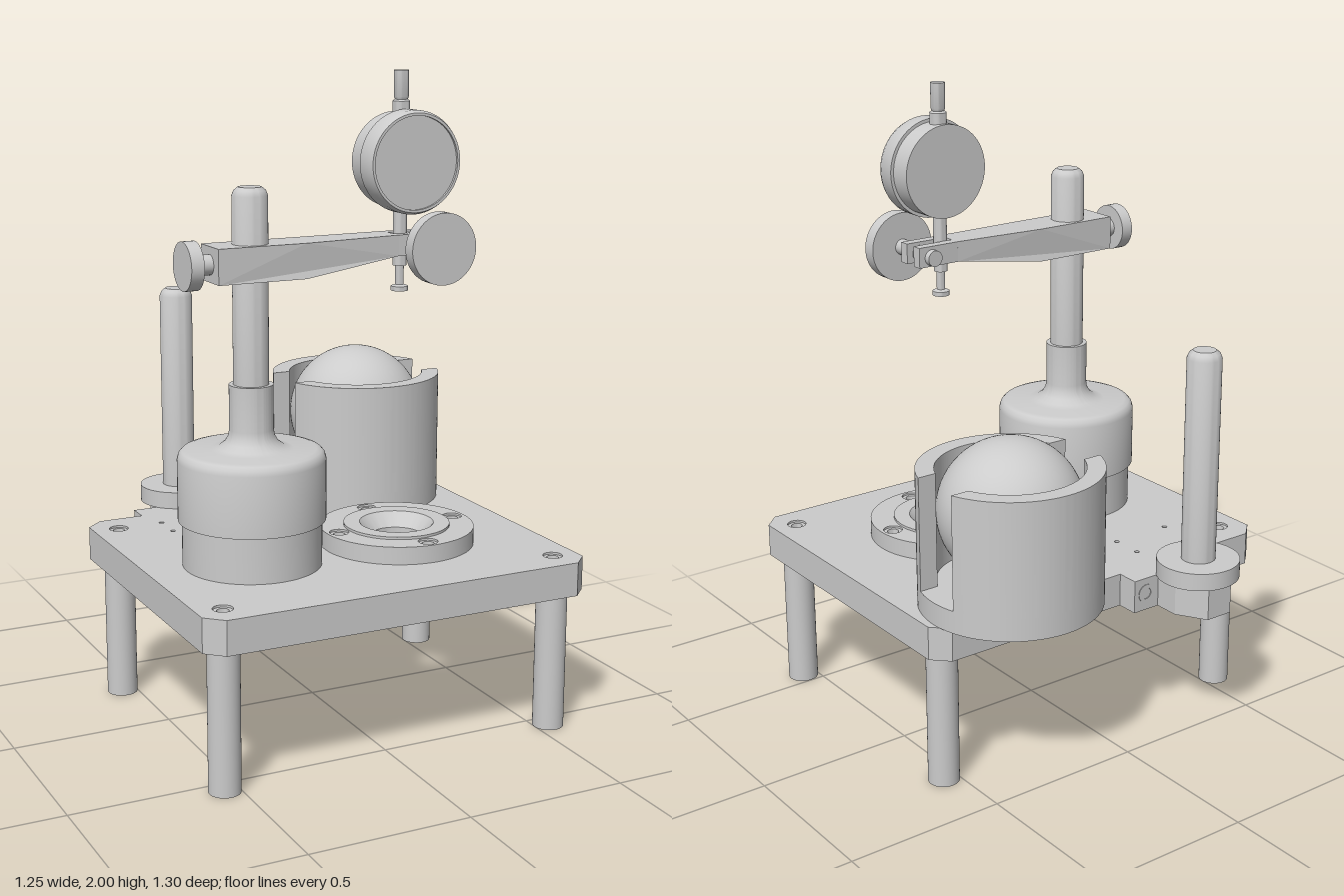
import * as THREE from 'three';
import { toCreasedNormals } from 'three/addons/utils/BufferGeometryUtils.js';

const grey = new THREE.MeshStandardMaterial({ color: 0xcccccc });
const V = (pts) => pts.map(([x, y]) => new THREE.Vector2(x, y));

export function createModel() {
  const model = new THREE.Group();

  const add = (name, geo, x = 0, y = 0, z = 0) => {
    const mesh = new THREE.Mesh(geo, grey);
    mesh.name = name;
    mesh.position.set(x, y, z);
    model.add(mesh);
    return mesh;
  };
  // turned part: profile of [radius, height], outside upwards, then inwards
  const turned = (pts, seg = 64) => toCreasedNormals(new THREE.LatheGeometry(V(pts), seg), 0.6);
  // plate drawn in x/z, hanging down from y = 0
  const slab = (shape, h) => toCreasedNormals(
    new THREE.ExtrudeGeometry(shape, { depth: h, bevelEnabled: false, curveSegments: 48 }).rotateX(Math.PI / 2), 0.5);
  const hole = (shape, x, z, r) => shape.holes.push(new THREE.Path().absarc(x, z, r, 0, Math.PI * 2, true));
  const rod = (r, h, seg = 40) => new THREE.CylinderGeometry(r, r, h, seg);
  const box = (w, h, d) => new THREE.BoxGeometry(w, h, d);
  // socket screw whose head sits just under y = 0
  const screw = () => turned([[0, -0.06], [0.029, -0.06], [0.029, -0.006], [0.018, -0.006], [0.016, -0.028], [0, -0.028]], 24);
  // round bar with a softened top end
  const bar = (r, h) => turned([[0, 0], [r, 0], [r, h - 0.025], [r - 0.006, h - 0.01], [r - 0.018, h], [0, h]], 40);

  const legX = 0.546, legZ = [-0.29, 0.55];
  const stand = { x: -0.303, z: 0.21 }, flange = { x: 0.188, z: 0.212 };
  const post = { x: -0.243, z: -0.528 }, cup = { x: 0.325, z: -0.335 };

  // base plate with cut corners and the rear clamp tab
  const plate = new THREE.Shape(V([
    [-0.575, 0.645], [-0.628, 0.595], [-0.628, -0.34], [-0.575, -0.39], [-0.43, -0.39], [-0.43, -0.46],
    [post.x - 0.1, -0.46], [post.x - 0.1, -0.54], [post.x - 0.045, -0.63], [post.x + 0.045, -0.63],
    [post.x + 0.1, -0.54], [post.x + 0.1, -0.46], [-0.05, -0.46], [-0.05, -0.39],
    [0.575, -0.39], [0.625, -0.34], [0.625, 0.595], [0.575, 0.645]]));
  hole(plate, flange.x, flange.z, 0.1);
  hole(plate, stand.x, stand.z, 0.075);
  hole(plate, post.x, post.z, 0.025);
  for (const x of [-0.4, -0.2]) for (const z of [-0.29, -0.19]) hole(plate, x, z, 0.008);
  for (const x of [-legX, legX]) for (const z of legZ) hole(plate, x, z, 0.03);
  add('basePlate', slab(plate, 0.105), 0, 0.55, 0);

  // legs and their screws
  for (const x of [-legX, legX]) for (const z of legZ) {
    add('leg', rod(0.048, 0.445), x, 0.2225, z);
    add('legScrew', screw(), x, 0.55, z);
  }

  // clamp screws on the back of the tab
  for (const s of [-1, 1])
    add('clampScrew', screw().rotateX(-Math.PI / 2), post.x + s * 0.148, 0.5, -0.468);

  // rear post on its collar
  add('postCollar', rod(0.128, 0.055, 64), post.x, 0.5775, post.z);
  add('rearPost', bar(0.053, 0.665), post.x, 0.605, post.z);

  // slotted cup holding the ball
  add('cupFloor', rod(0.278, 0.07, 96), cup.x, 0.585, cup.z);
  const R = 0.278, r = 0.222, half = 0.083;
  const a = Math.asin(half / R), b = Math.asin(half / r);
  for (const turn of [0, Math.PI]) {
    const wall = new THREE.Shape();
    wall.absarc(0, 0, R, turn + a, turn + Math.PI - a, false);
    wall.absarc(0, 0, r, turn + Math.PI - b, turn + b, true);
    add('cupWall', slab(wall, 0.355), cup.x, 0.975, cup.z);
  }
  add('ball', new THREE.SphereGeometry(0.22, 64, 40), cup.x, 0.84, cup.z);

  // screwed flange with a countersunk bushing
  const ring = new THREE.Shape().absarc(0, 0, 0.24, 0, Math.PI * 2, false);
  hole(ring, 0, 0, 0.14);
  for (let i = 0; i < 4; i++) {
    const x = 0.2 * Math.cos(i * Math.PI / 2), z = 0.2 * Math.sin(i * Math.PI / 2);
    hole(ring, x, z, 0.03);
    add('flangeScrew', screw(), flange.x + x, 0.605, flange.z + z);
  }
  add('flange', slab(ring, 0.055), flange.x, 0.605, flange.z);
  add('bushing', turned([[0.078, 0.445], [0.1, 0.445], [0.1, 0.56], [0.165, 0.56], [0.165, 0.613],
    [0.115, 0.613], [0.078, 0.57], [0.078, 0.445]]), flange.x, 0, flange.z);

  // stand: two-step base, concave neck, collar and column
  add('standBase', turned([[0, 0.55], [0.21, 0.55], [0.21, 0.69], [0.222, 0.69], [0.222, 0.875], [0.218, 0.89],
    [0.208, 0.901], [0.193, 0.905], [0.125, 0.905], [0.1, 0.911], [0.08, 0.926], [0.069, 0.945], [0.066, 0.965],
    [0.066, 1.1], [0, 1.1]], 96), stand.x, 0, stand.z);
  add('standColumn', bar(0.053, 0.6), stand.x, 1.08, stand.z);
  add('standBolt', screw().rotateX(Math.PI), stand.x, 0.475, stand.z);

  // arm narrowing towards the gauge
  const arm = new THREE.ExtrudeGeometry(new THREE.Shape(V([
    [-0.43, 1.41], [-0.15, 1.41], [0.16, 1.455], [0.16, 1.518], [-0.15, 1.515], [-0.43, 1.515]])),
  { depth: 0.13, bevelEnabled: false }).translate(0, 0, -0.065);
  const p = arm.attributes.position;
  for (let i = 0; i < p.count; i++) if (p.getX(i) > 0) p.setZ(i, p.getZ(i) * 0.77);
  arm.computeVertexNormals();
  add('arm', arm, 0, 0, stand.z);
  for (const s of [-1, 1])
    add('armJaw', box(0.14, 0.063, 0.032), 0.23, 1.4865, stand.z + s * 0.034);

  // arm lock knob
  add('lockShaft', rod(0.03, 0.06).rotateZ(Math.PI / 2), -0.45, 1.462, stand.z);
  add('lockKnob', rod(0.072, 0.04).rotateZ(Math.PI / 2), -0.495, 1.462, stand.z);

  // gauge clamp knob
  add('clampShaft', rod(0.025, 0.2).rotateX(Math.PI / 2), 0.255, 1.483, 0.24);
  add('clampKnob', rod(0.108, 0.043, 64).rotateX(Math.PI / 2), 0.255, 1.483, 0.346);

  // dial gauge: body, rim and recessed face
  add('dial', turned([[0, 0.175], [0.143, 0.175], [0.143, 0.245], [0.153, 0.245], [0.153, 0.298], [0.146, 0.314],
    [0.138, 0.314], [0.138, 0.306], [0, 0.306]], 80).rotateX(Math.PI / 2), flange.x, 1.735, 0);

  // gauge stem, spindle and tip, from bottom to top
  add('spindle', turned([[0, 1.343], [0.026, 1.343], [0.026, 1.357], [0.013, 1.362], [0.013, 1.42], [0.021, 1.42],
    [0.021, 1.6], [0, 1.6]], 32), flange.x, 0, 0.214);
  add('stemCap', turned([[0, 1.86], [0.026, 1.86], [0.026, 1.91], [0.019, 1.915], [0.022, 1.922], [0.022, 2], [0, 2]], 32),
    flange.x, 0, 0.214);

  return model;
}
